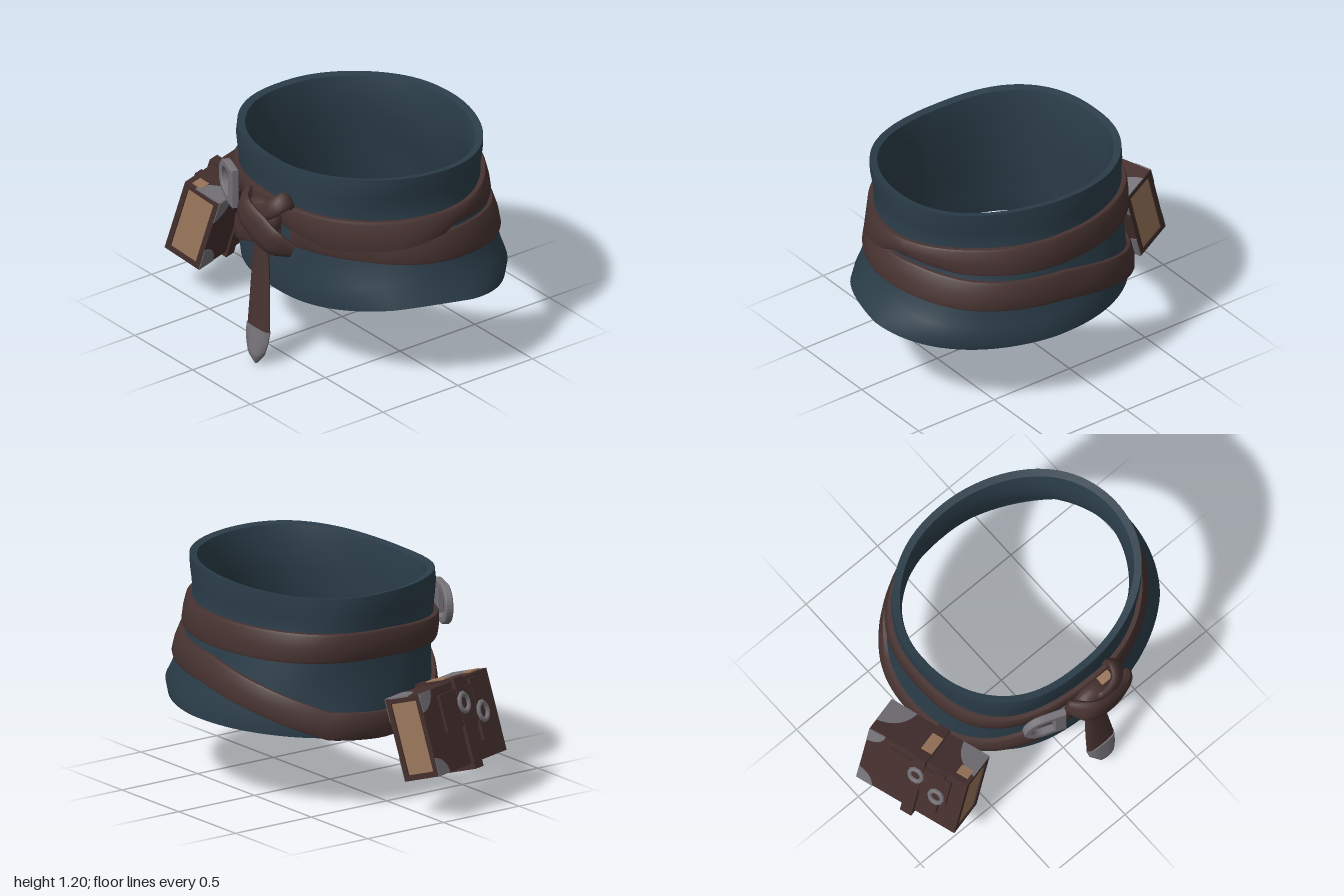
import * as THREE from 'three';
import { toCreasedNormals } from 'three/addons/utils/BufferGeometryUtils.js';

const V = (x, y, z) => new THREE.Vector3(x, y, z);
const RAD = Math.PI / 180;

function material(name, color) {
  const m = new THREE.MeshStandardMaterial({ color });
  m.name = name;
  return m;
}

// Piecewise linear lookup; each key is [position, value, value, ...] in rising order.
function lookup(keys, t) {
  let i = 0;
  while (i < keys.length - 2 && t > keys[i + 1][0]) i++;
  const a = keys[i], b = keys[i + 1];
  const f = THREE.MathUtils.clamp((t - a[0]) / (b[0] - a[0]), 0, 1);
  return a.slice(1).map((v, k) => v + (b[k + 1] - v) * f);
}

// Joins closed cross-sections into a solid, outward facing surface.
function loft(sectionAt, steps, closed, crease = 0.8) {
  const rings = [];
  for (let i = 0; i < steps + (closed ? 0 : 1); i++) rings.push(sectionAt(i / steps));
  const n = rings[0].length, pts = rings.flat(), idx = [];
  for (let i = 0; i < steps; i++) {
    for (let j = 0; j < n; j++) {
      const a = i * n + j, b = i * n + (j + 1) % n;
      const c = ((i + 1) % rings.length) * n + j, d = ((i + 1) % rings.length) * n + (j + 1) % n;
      idx.push(a, c, b, b, c, d);
    }
  }
  if (!closed) {
    const e = steps * n;
    for (let j = 1; j < n - 1; j++) idx.push(0, j, j + 1, e, e + j + 1, e + j);
  }
  let volume = 0;
  for (let i = 0; i < idx.length; i += 3) {
    volume += pts[idx[i]].dot(pts[idx[i + 1]].clone().cross(pts[idx[i + 2]]));
  }
  if (volume < 0) idx.reverse();
  const g = new THREE.BufferGeometry().setFromPoints(pts);
  g.setIndex(idx);
  return toCreasedNormals(g, crease);
}

// Waist outline by height: y, xMin, xMax, zMin, zMax
const WAIST = [
  [0.39, -0.55, 0.985, -0.725, 0.565], [0.48, -0.555, 1.005, -0.715, 0.565], [0.58, -0.545, 0.935, -0.688, 0.56],
  [0.7, -0.535, 0.882, -0.668, 0.55], [0.85, -0.53, 0.838, -0.638, 0.547], [1.0, -0.532, 0.815, -0.62, 0.552],
  [1.1, -0.545, 0.828, -0.625, 0.562], [1.21, -0.555, 0.845, -0.635, 0.568],
];
// The right side is a little squarer than an ellipse, the lower back left a little straighter.
function waist(a, y, offset) {
  const [x0, x1, z0, z1] = lookup(WAIST, y);
  const o = offset + 0.004 * Math.sin(5 * a + y * 9);
  const c = Math.cos(a), s = Math.sin(a);
  const left = s > 0 ? 1 : 1 + 0.3 * Math.max(0, 0.7 - y);
  const e = c > 0 ? left : s > 0 ? 0.82 : 0.9;
  const bend = v => Math.sign(v) * Math.abs(v) ** e;
  return V((x0 + x1) / 2 + ((x1 - x0) / 2 + o) * bend(c), y, (z0 + z1) / 2 + ((z1 - z0) / 2 + o) * bend(s));
}

function sashSection(t) {
  const a = t * Math.PI * 2, out = [], inn = [], N = 12;
  const top = 1.187 + 0.015 * Math.cos(a) + 0.007 * Math.sin(3 * a) - 0.018 * Math.max(0, Math.sin(a)) ** 4;
  const low = 0.402 + 0.095 * Math.max(0, Math.cos(a - 0.3)) ** 3 + 0.018 * Math.max(0, -Math.sin(a));
  for (let i = 0; i <= N; i++) {
    const y = low + (top - low) * i / N;
    const edge = i === 0 || i === N ? 0.008 : 0;
    out.push(waist(a, y, -edge));
    inn.unshift(waist(a, y - (i === N ? 0.008 : 0), -0.03 - 0.025 * i / N + edge));
  }
  return [...out, ...inn];
}

// Belt keys: angle in degrees (90 = front, 0 = left side), lower edge, upper edge
const UPPER = [
  [-270, 0.84, 0.95], [-257, 0.85, 0.95], [-235, 0.82, 0.94], [-212, 0.81, 0.95], [-180, 0.82, 0.97],
  [-90, 0.82, 0.985], [-40, 0.845, 0.98], [-18, 0.878, 0.97], [-4, 0.883, 0.965], [2, 0.85, 0.963],
  [25, 0.79, 0.955], [60, 0.76, 0.95], [90, 0.84, 0.95],
];
const LOWER = [
  [-272, 0.67, 0.82], [-258, 0.62, 0.77], [-240, 0.53, 0.67], [-222, 0.46, 0.59], [-206, 0.415, 0.545],
  [-180, 0.385, 0.53], [-155, 0.405, 0.55], [-120, 0.53, 0.68], [-90, 0.615, 0.77], [-45, 0.655, 0.805],
  [-18, 0.685, 0.845], [0, 0.7, 0.855], [45, 0.73, 0.9], [80, 0.73, 0.9],
];
function belt(keys, offset, closed) {
  const from = keys[0][0], to = keys[keys.length - 1][0];
  return loft(t => {
    const deg = from + (to - from) * t, a = deg * RAD;
    const [y0, y1] = lookup(keys, deg), at = (f, o) => waist(a, y0 + (y1 - y0) * f, o);
    return [at(0, -0.01), at(0, offset - 0.006), at(0.08, offset), at(0.5, offset + 0.004),
      at(0.92, offset), at(1, offset - 0.006), at(1, -0.01), at(0.5, -0.01)];
  }, 120, closed, 0.7);
}

// Flat strap with rounded edges along a smooth path; widths are half widths, narrow ends get thinner.
function strap(path, widths, thick, side) {
  const curve = new THREE.CatmullRomCurve3(path.map(p => V(...p)));
  const s = V(...side).normalize();
  const keys = widths.map((w, i) => [i / (widths.length - 1), w]);
  return loft(t => {
    const p = curve.getPoint(t), n = curve.getTangent(t).cross(s).normalize();
    const [w] = lookup(keys, t), h = thick * Math.min(1, w / 0.05);
    return Array.from({ length: 10 }, (_, k) => {
      const a = k / 10 * Math.PI * 2, c = Math.cos(a), q = Math.sin(a);
      return p.clone().addScaledVector(s, w * c).addScaledVector(n, h * Math.sign(q) * Math.sqrt(Math.abs(q)));
    });
  }, 16, false, 1);
}

export function createModel() {
  const cloth = material('teal cloth', 0x2b3d49);
  const leather = material('brown leather', 0x473331);
  const cover = material('dark book leather', 0x432f2d);
  const paper = material('tan paper', 0x9c775b);
  const metal = material('grey metal', 0x757278);
  const model = new THREE.Group();
  const add = (name, geo, mat, parent = model, pos = [0, 0, 0]) => {
    const m = new THREE.Mesh(geo, mat);
    m.name = name;
    m.position.set(...pos);
    parent.add(m);
    return m;
  };

  add('sash', loft(sashSection, 96, true), cloth);
  add('upperBelt', belt(UPPER, 0.03, true), leather);
  add('lowerBelt', belt(LOWER, 0.026, false), leather);

  // Knot, its loop with a pale lining, and the hanging tail
  const core = new THREE.SphereGeometry(1, 16, 10).scale(0.13, 0.1, 0.075);
  add('knotCore', core, leather, model, [0.11, 0.85, 0.61]);
  add('knotWrap', strap([[-0.05, 0.93, 0.59], [0.03, 0.885, 0.68], [0.17, 0.815, 0.69], [0.28, 0.76, 0.665], [0.35, 0.73, 0.6]],
    [0.04, 0.08, 0.1, 0.09, 0.045], 0.024, [0.5, 0.87, 0]), leather);
  add('knotLoop', strap([[0.08, 0.87, 0.63], [0.18, 0.91, 0.66], [0.25, 0.96, 0.645], [0.275, 0.99, 0.59], [0.26, 0.95, 0.54]],
    [0.05, 0.05, 0.048, 0.05, 0.04], 0.022, [0.6, -0.75, 0]), leather);
  add('loopLining', new THREE.BoxGeometry(0.075, 0.008, 0.05), paper, model, [0.2, 0.945, 0.605]);
  add('beltTail', strap([[0.1, 0.82, 0.62], [0.105, 0.7, 0.622], [0.115, 0.45, 0.635], [0.125, 0.19, 0.655]],
    [0.05, 0.056, 0.078, 0.094], 0.021, [1, 0, 0]), leather);
  add('tailTip', strap([[0.125, 0.2, 0.655], [0.128, 0.13, 0.667], [0.135, 0.06, 0.678], [0.14, 0.003, 0.686]],
    [0.096, 0.088, 0.058, 0.008], 0.028, [1, 0, 0]), metal);

  // D-shaped buckle
  const ring = new THREE.Shape();
  ring.moveTo(0.105, -0.105).lineTo(0.105, 0.105).lineTo(-0.01, 0.105);
  ring.absarc(-0.015, 0, 0.105, Math.PI / 2, Math.PI * 1.5, false);
  const hole = new THREE.Path();
  hole.moveTo(0.05, -0.074).lineTo(0.05, 0.074).lineTo(-0.01, 0.074);
  hole.absarc(-0.015, 0, 0.074, Math.PI / 2, Math.PI * 1.5, false);
  ring.holes.push(hole);
  const buckle = add('buckle', new THREE.ExtrudeGeometry(ring, {
    depth: 0.03, bevelEnabled: true, bevelSize: 0.006, bevelThickness: 0.006, bevelSegments: 1, curveSegments: 8,
  }), metal, model, [-0.2, 0.92, 0.582]);
  buckle.rotation.y = -0.36;

  // Hanging book: x is thickness (outside is -x), z is length
  const book = new THREE.Group();
  book.name = 'book';
  book.position.set(-0.735, 0.44, 0.215);
  book.rotation.set(0, 0.3, -0.3, 'YXZ');
  model.add(book);
  const T = 0.23, H = 0.45, L = 0.61;
  const box = (name, mat, w, h, d, x, y, z) => add(name, new THREE.BoxGeometry(w, h, d), mat, book, [x, y, z]);
  box('pages', paper, T - 0.05, H - 0.05, L - 0.016, 0, 0, 0);
  for (const s of [-1, 1]) {
    box('bookCover', cover, 0.03, H, L, s * (T / 2 - 0.015), 0, 0);
    box('bookEdge', cover, T - 0.03, 0.03, L, 0, s * (H / 2 - 0.015), 0);
  }
  // Thin metal corner plates: shape corner at the origin, arms along x and y
  const corner = (sx, sy, r) => {
    const sh = new THREE.Shape();
    sh.moveTo(0, 0).lineTo(sx * r, 0).quadraticCurveTo(sx * r * 0.85, sy * r * 0.85, 0, sy * r);
    return new THREE.ExtrudeGeometry(sh, { depth: 0.008, bevelEnabled: false }).translate(0, 0, -0.004);
  };
  for (const [x, y, z] of [[1, 1, 1], [1, 1, -1], [1, -1, 1], [1, -1, -1], [-1, 1, -1], [-1, -1, -1]]) {
    add('coverCorner', corner(-z, -y, x > 0 ? 0.13 : 0.1).rotateY(-Math.PI / 2), metal, book,
      [x * T / 2, y * H / 2, z * L / 2]);
  }
  for (const z of [-1, 1]) {
    add('topCorner', corner(-1, -z, 0.16).rotateX(Math.PI / 2), metal, book, [T / 2, H / 2, z * L / 2]);
  }
  // Closing straps with small buckles, and paper slips on top
  box('bookStrap', cover, T + 0.035, H + 0.045, 0.07, -0.005, -0.008, 0.02);
  box('bookStrapShort', cover, 0.03, H * 0.75, 0.06, -T / 2 - 0.005, 0.04, 0.15);
  box('bookFlap', cover, 0.025, H * 0.45, L * 0.62, -T / 2 - 0.004, 0.08, 0.03);
  for (const [y, z] of [[0.1, 0.02], [0.02, 0.16]]) {
    const g = new THREE.TorusGeometry(0.038, 0.013, 6, 10).scale(1, 1.25, 1).rotateY(Math.PI / 2);
    add('bookBuckle', g, metal, book, [-T / 2 - 0.025, y, z]);
  }
  box('paperSlip', paper, 0.12, 0.008, 0.066, -0.01, H / 2 + 0.017, 0.02);
  box('paperSlip', paper, 0.06, 0.008, 0.07, -0.05, H / 2 + 0.003, 0.25);
  return model;
}
